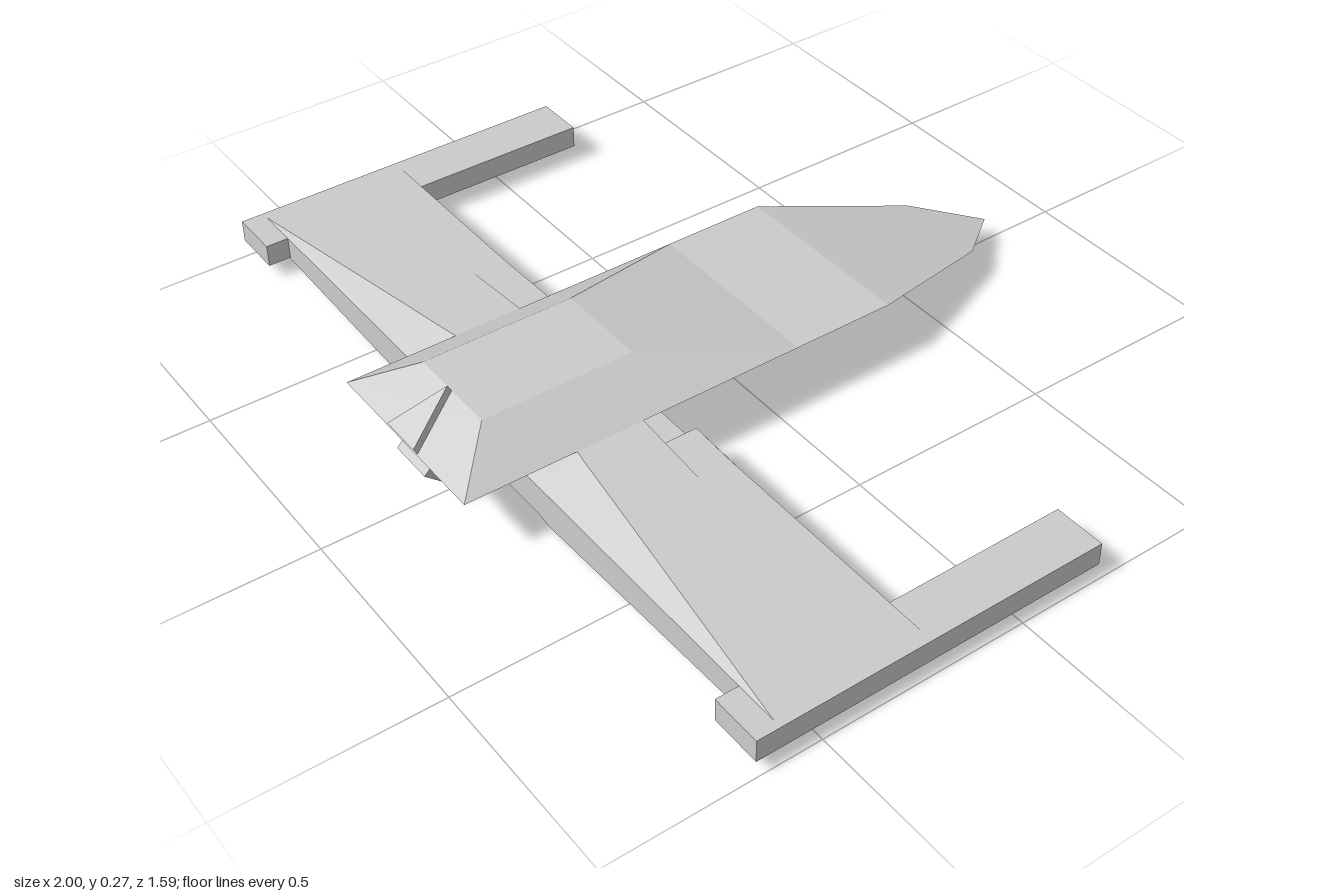
import * as THREE from 'three';

const material = new THREE.MeshStandardMaterial({ color: 0xcccccc, flatShading: true });

// Skin a row of equal-length rings and cap both ends (rings run counter-clockwise seen from the last one).
function loft(name, rings) {
  const pos = [];
  const tri = (...points) => points.forEach((p) => pos.push(...p));
  const n = rings[0].length;
  for (let i = 0; i < rings.length - 1; i++) {
    const a = rings[i], b = rings[i + 1];
    for (let j = 0; j < n; j++) {
      const k = (j + 1) % n;
      tri(a[j], a[k], b[j]);
      tri(a[k], b[k], b[j]);
    }
  }
  const first = rings[0], last = rings[rings.length - 1];
  for (let j = 1; j < n - 1; j++) {
    tri(first[0], first[j + 1], first[j]);
    tri(last[0], last[j], last[j + 1]);
  }
  const geometry = new THREE.BufferGeometry();
  geometry.setAttribute('position', new THREE.Float32BufferAttribute(pos, 3));
  geometry.computeVertexNormals();
  const mesh = new THREE.Mesh(geometry, material);
  mesh.name = name;
  return mesh;
}

// Hull ring: chine, cabin roof edge and keel, each with its own z so the stern can rake.
const hullRing = ([cx, cy, cz], [tx, ty, tz], [ky, kz]) => [
  [-cx, cy, cz], [-tx, ty, tz], [tx, ty, tz], [cx, cy, cz], [0, ky, kz],
];

// Wing section at x: notch floor and front edge, upper skin, rear slope, underside.
const wingRing = ({ x, top, rear, floor, front, bottom }) => [
  [x, Math.min(0.105, floor), 0.24],
  [x, floor, front],
  [x, floor, 0.362],
  [x, top, 0.362],
  [x, top, rear],
  [x, 0.105, 0.6],
  [x, bottom, 0.6],
  [x, bottom, 0.245],
];

// Flat plate made by pushing a triangle along an offset.
const plate = (name, corners, offset) =>
  loft(name, [corners, corners.map((p) => p.map((v, i) => v + offset[i]))]);

export function createModel() {
  const model = new THREE.Group();

  // V-bottomed hull with raised cabin, from stern to nose
  model.add(loft('hull', [
    hullRing([0.235, 0.185, 0.79], [0.115, 0.26, 0.67], [0.03, 0.66]),
    hullRing([0.235, 0.185, 0.305], [0.115, 0.26, 0.305], [0.03, 0.305]),
    hullRing([0.235, 0.185, -0.04], [0.235, 0.185, -0.04], [0.03, -0.04]),
    hullRing([0.235, 0.185, -0.29], [0.235, 0.185, -0.29], [0.03, -0.29]),
    hullRing([0.115, 0.105, -0.65], [0.115, 0.105, -0.65], [0.03, -0.65]),
    hullRing([0, 0.07, -0.795], [0, 0.07, -0.795], [0.07, -0.795]),
  ]));

  // Wing running through the hull, with a notch in the leading edge at each root
  const half = [
    { x: 0.19, top: 0.18, rear: 0.525, floor: 0.07, front: 0.242, bottom: 0.028 },
    { x: 0.235, top: 0.185, rear: 0.525, floor: 0.07, front: 0.242, bottom: 0.02 },
    { x: 0.28, top: 0.18, rear: 0.53, floor: 0.145, front: 0.262, bottom: 0.022 },
    { x: 0.43, top: 0.165, rear: 0.545, floor: 0.165, front: 0.28, bottom: 0.028 },
    { x: 0.98, top: 0.105, rear: 0.6, floor: 0.105, front: 0.24, bottom: 0.05 },
  ];
  const mirrored = half.map((s) => ({ ...s, x: -s.x })).reverse();
  model.add(loft('wing', [...mirrored, ...half].map(wingRing)));

  // Long booms on the wing tips
  for (const side of [-1, 1]) {
    const boom = new THREE.Mesh(new THREE.BoxGeometry(0.125, 0.055, 0.855), material);
    boom.name = side > 0 ? 'leftBoom' : 'rightBoom';
    boom.position.set(side * 0.9375, 0.0775, 0.2275);
    model.add(boom);
  }

  // Triangular plates on the raked stern
  model.add(plate('upperTailPlate',
    [[0, 0.26, 0.67], [-0.052, 0.185, 0.787], [0.052, 0.185, 0.787]], [0, 0.017, 0.009]));
  model.add(plate('lowerTailPlate',
    [[0, 0.03, 0.655], [0.055, 0.148, 0.755], [-0.055, 0.148, 0.755]], [0, -0.024, 0.024]));

  return model;
}
